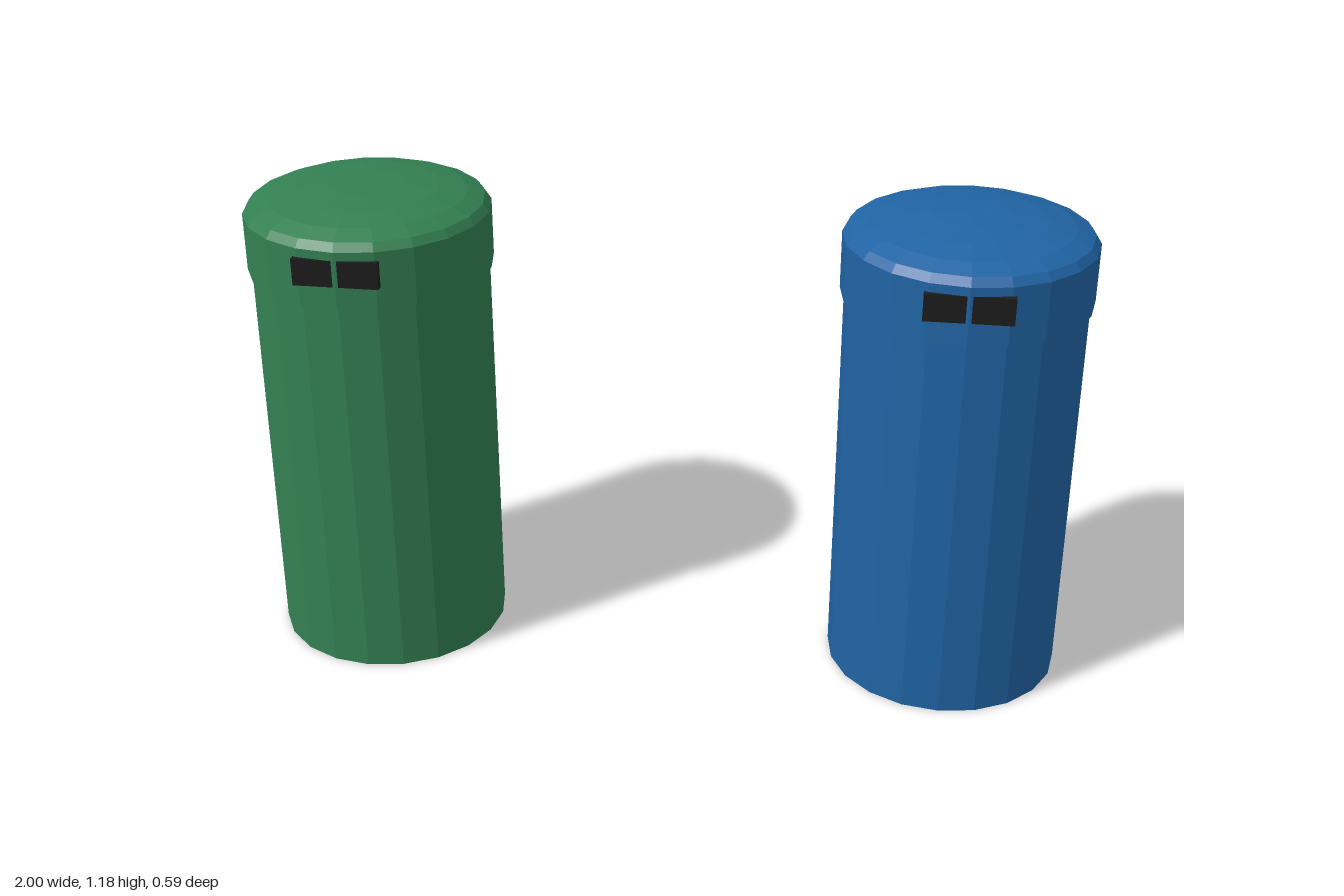
import * as THREE from 'three';

const SIDES = 20;

function createBin(name, color, x) {
  const bin = new THREE.Group();
  bin.name = name;
  bin.position.x = x;
  const paint = new THREE.MeshStandardMaterial({ color, flatShading: true });
  const dark = new THREE.MeshStandardMaterial({ color: 0x1c1c1c });

  const add = (part, geometry, material, y, z = 0) => {
    const mesh = new THREE.Mesh(geometry, material);
    mesh.name = part;
    mesh.position.set(0, y, z);
    bin.add(mesh);
    return mesh;
  };

  // Drum and the slightly wider rim of the lid
  add('body', new THREE.CylinderGeometry(0.283, 0.283, 0.98, SIDES), paint, 0.49);
  add('lidRim', new THREE.CylinderGeometry(0.293, 0.293, 0.14, SIDES), paint, 1.045);

  // Shallow domed top
  const dome = new THREE.SphereGeometry(0.293, SIDES, 5, 0, Math.PI * 2, 0, Math.PI / 2);
  dome.scale(1, 0.062 / 0.293, 1);
  add('lidDome', dome, paint, 1.115);

  // Deposit slot; the rim's front edge just shows through its middle
  add('slot', new THREE.BoxGeometry(0.2, 0.064, 0.032), dark, 1.062, 0.276);
  return bin;
}

export function createModel() {
  const model = new THREE.Group();
  model.name = 'recyclingBins';
  model.add(
    createBin('greenBin', 0x338052, -0.707),
    createBin('blueBin', 0x2064a4, 0.707)
  );
  return model;
}
